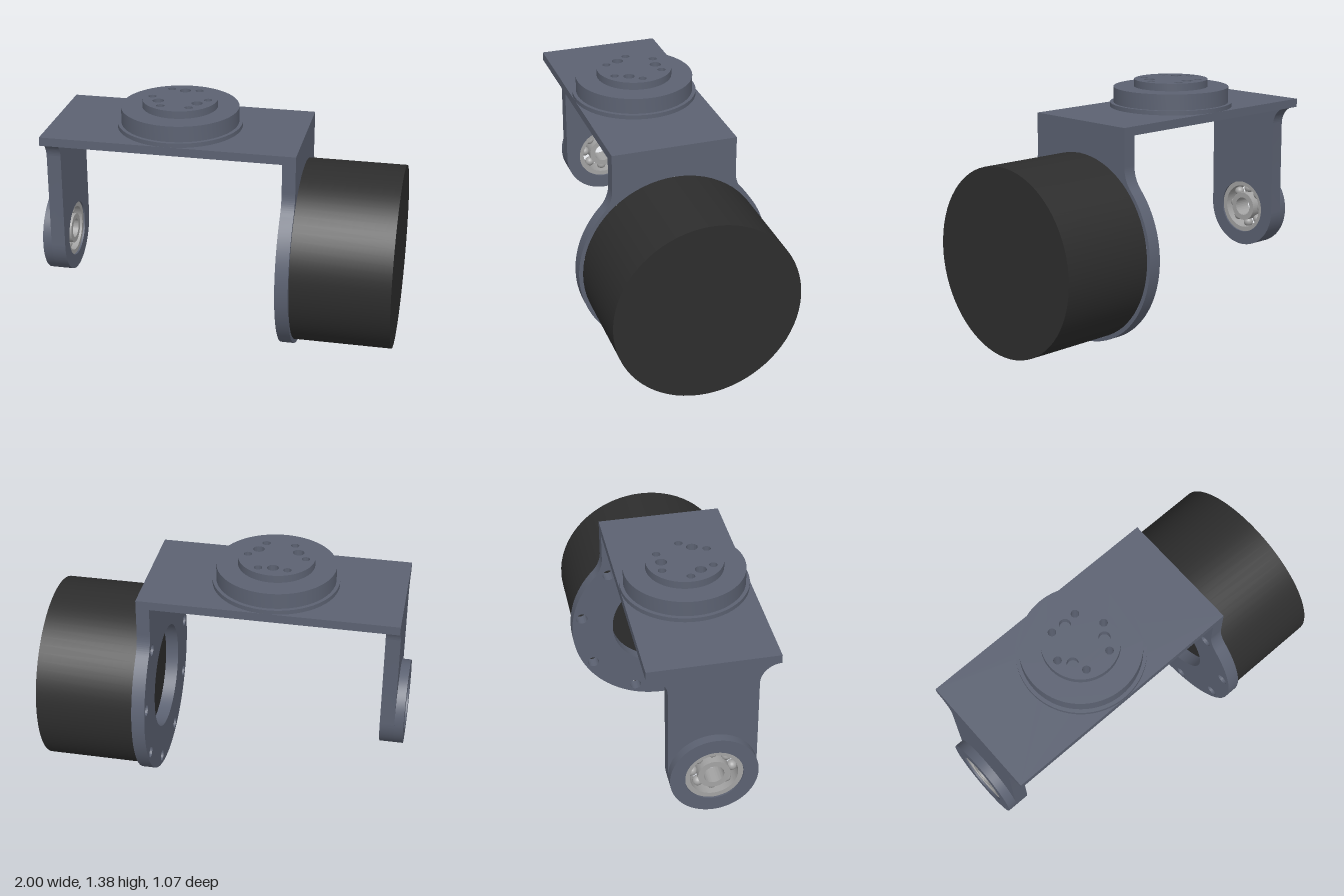
import * as THREE from 'three';
import { toCreasedNormals } from 'three/addons/utils/BufferGeometryUtils.js';

const AXLE_Y = 0.535;   // height of the motor and bearing axis
const HUB_X = -0.245;   // centre of the round hub on the top plate

export function createModel() {
  const group = new THREE.Group();
  const paint = (name, color) => {
    const m = new THREE.MeshStandardMaterial({ color });
    m.name = name;
    return m;
  };
  const slate = paint('slate metal', 0x5c6272);
  const black = paint('motor black', 0x2d2d2d);
  const steel = paint('bearing steel', 0xa3a3a3);

  const add = (name, geometry, material) => {
    const mesh = new THREE.Mesh(geometry, material);
    mesh.name = name;
    group.add(mesh);
    return mesh;
  };
  const extrude = (shape, depth) =>
    new THREE.ExtrudeGeometry(shape, { depth, bevelEnabled: false, curveSegments: 48 });
  // Extrude a (z, y) outline from x0 to x1
  const alongX = (shape, x0, x1) =>
    toCreasedNormals(extrude(shape, x1 - x0).rotateY(Math.PI / 2).translate(x0, 0, 0), 0.5);
  // Extrude an (x, -z) outline from y0 to y1
  const alongY = (shape, y0, y1) =>
    toCreasedNormals(extrude(shape, y1 - y0).rotateX(-Math.PI / 2).translate(0, y0, 0), 0.5);

  const disc = (x, y, r) => new THREE.Shape().absarc(x, y, r, 0, Math.PI * 2, false);
  const hole = (shape, x, y, r) => {
    shape.holes.push(new THREE.Path().absarc(x, y, r, 0, Math.PI * 2, true));
    return shape;
  };
  const boltCircle = (shape, x, y, count, radius, r, start = 0) => {
    for (let i = 0; i < count; i++) {
      const a = start + (i / count) * Math.PI * 2;
      hole(shape, x + radius * Math.cos(a), y + radius * Math.sin(a), r);
    }
    return shape;
  };

  // Top plate with wide clearance holes under the hub
  const plate = new THREE.Shape([[-0.95, -0.345], [0.455, -0.345], [0.455, 0.345], [-0.95, 0.345]]
    .map(([x, y]) => new THREE.Vector2(x, y)));
  boltCircle(plate, HUB_X, 0, 6, 0.157, 0.034);
  add('topPlate', alongY(plate, 1.18, 1.228), slate);

  // Stepped hub: flange, body and cap, with six through holes and three blind ones
  const hubStep = (r, bolt) => boltCircle(disc(HUB_X, 0, r), HUB_X, 0, 6, 0.157, bolt);
  add('hubFlange', alongY(hubStep(0.345, 0.034), 1.228, 1.252), slate);
  add('hubBody', alongY(hubStep(0.325, 0.022), 1.252, 1.34), slate);
  const cap = boltCircle(hubStep(0.208, 0.022), HUB_X, 0, 3, 0.125, 0.031, Math.PI / 2);
  add('hubCap', alongY(cap, 1.34, 1.382), slate);

  // Motor arm: a disc blended into a straight neck by concave fillets
  const R = 0.535, neck = 0.345, fillet = 0.18;
  const fz = neck + fillet;
  const fy = Math.sqrt((R + fillet) ** 2 - fz ** 2);
  const join = Math.atan2(fy, fz);
  const motorArm = new THREE.Shape();
  motorArm.moveTo(neck, 1.18);
  motorArm.lineTo(-neck, 1.18);
  motorArm.absarc(-fz, AXLE_Y + fy, fillet, 0, -join, true);
  motorArm.absarc(0, AXLE_Y, R, Math.PI - join, Math.PI * 2 + join, false);
  motorArm.absarc(fz, AXLE_Y + fy, fillet, Math.PI + join, Math.PI, true);
  motorArm.closePath();
  hole(motorArm, 0, AXLE_Y, 0.295);
  boltCircle(motorArm, 0, AXLE_Y, 9, 0.483, 0.033, Math.PI / 2);
  add('motorArm', alongX(motorArm, 0.382, 0.455), slate);

  // Motor
  const motor = add('motor', new THREE.CylinderGeometry(0.513, 0.513, 0.545, 72), black);
  motor.rotation.z = Math.PI / 2;
  motor.position.set(0.7275, AXLE_Y + 0.002, 0);

  // Bearing arm: round foot, straight sides, flared into the plate
  const w = 0.235, flare = 0.11;
  const bearingArm = new THREE.Shape();
  bearingArm.moveTo(w + flare, 1.18);
  bearingArm.lineTo(-w - flare, 1.18);
  bearingArm.absarc(-w - flare, 1.18 - flare, flare, Math.PI / 2, 0, true);
  bearingArm.absarc(0, AXLE_Y, w, Math.PI, Math.PI * 2, false);
  bearingArm.absarc(w + flare, 1.18 - flare, flare, Math.PI, Math.PI / 2, true);
  hole(bearingArm, 0, AXLE_Y, 0.155);
  add('bearingArm', alongX(bearingArm, -0.95, -0.87), slate);
  add('bearingBoss', alongX(hole(disc(0, AXLE_Y, w), 0, AXLE_Y, 0.155), -1, -0.95), slate);

  // Ball bearing: outer race, inner race and balls
  const race = (name, ro, ri) =>
    add(name, alongX(hole(disc(0, AXLE_Y, ro), 0, AXLE_Y, ri), -0.99, -0.88), steel);
  race('bearingOuterRace', 0.155, 0.128);
  race('bearingInnerRace', 0.085, 0.054);
  const ballGeometry = new THREE.SphereGeometry(0.028, 20, 14);
  for (let i = 0; i < 8; i++) {
    const a = (i / 8) * Math.PI * 2;
    add('bearingBall', ballGeometry, steel)
      .position.set(-0.935, AXLE_Y + 0.1065 * Math.sin(a), 0.1065 * Math.cos(a));
  }

  return group;
}
